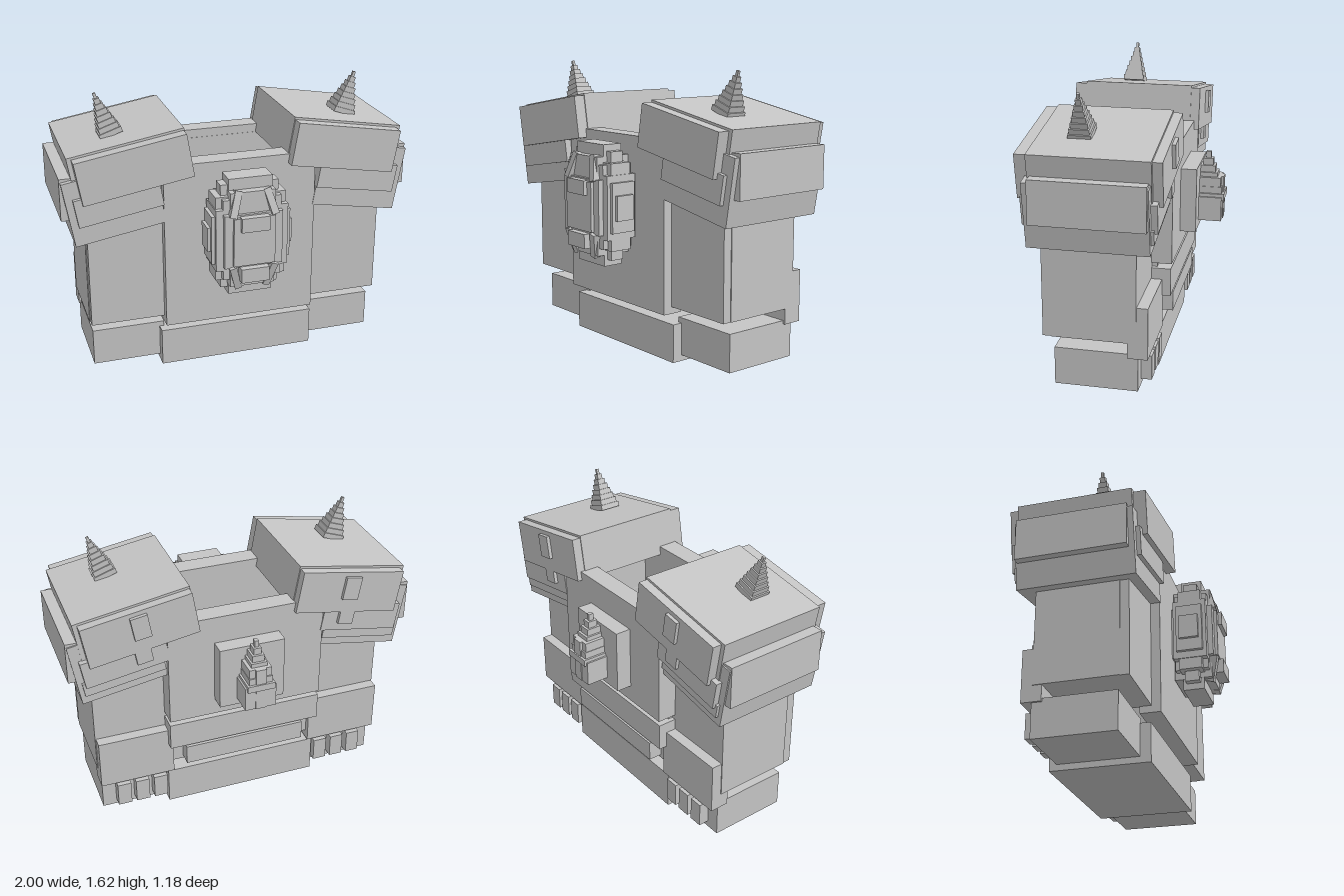
import * as THREE from 'three';

const steel = new THREE.MeshStandardMaterial({ color: 0xc5c5c5 });
steel.name = 'plain grey steel';

// Box given by its limits on each axis
function box(parent, name, [x0, x1], [y0, y1], [z0, z1]) {
  const mesh = new THREE.Mesh(new THREE.BoxGeometry(Math.abs(x1 - x0), y1 - y0, z1 - z0), steel);
  mesh.position.set((x0 + x1) / 2, (y0 + y1) / 2, (z0 + z1) / 2);
  mesh.name = name;
  parent.add(mesh);
  return mesh;
}

function group(parent, name) {
  const g = new THREE.Group();
  g.name = name;
  parent.add(g);
  return g;
}

// Stack of shrinking blocks standing on the local origin
function steppedSpike(parent, name, width, depth, height, steps) {
  const g = group(parent, name);
  const h = height / steps;
  for (let i = 0; i < steps; i++) {
    const k = (1 - i / steps) / 2;
    box(g, 'spikeStep', [-width * k, width * k], [i * h, (i + 1) * h], [-depth * k, depth * k]);
  }
  return g;
}

function buildTorso(root) {
  const g = group(root, 'torso');
  box(g, 'chestPlate', [-0.44, 0.44], [0.28, 1.25], [0.195, 0.312]);
  box(g, 'backWall', [-0.43, 0.43], [0.28, 1.2], [-0.28, -0.25]);
  box(g, 'upperBackPlate', [-0.455, 0.455], [0.62, 1.25], [-0.365, -0.252]);
  box(g, 'backStrap', [-0.455, 0.455], [0.43, 0.59], [-0.36, -0.252]);
  box(g, 'lowerBackStrap', [-0.36, 0.36], [0.30, 0.415], [-0.36, -0.252]);
  box(g, 'waistBlock', [-0.457, 0.457], [0, 0.22], [-0.30, 0.26]);
}

function buildSide(root, s) {
  const g = group(root, s > 0 ? 'leftSide' : 'rightSide');
  const b = (name, x0, x1, y, z) => box(g, name, [s * x0, s * x1], y, z);
  b('ribPad', 0.43, 0.867, [0.32, 1.17], [-0.25, 0.21]);
  b('frontRibPad', 0.43, 0.862, [0.32, 1.17], [0.2, 0.26]);
  b('rearHipPlate', 0.425, 0.862, [0.23, 0.525], [-0.312, -0.2]);
  b('hipBlock', 0.43, 0.85, [0.035, 0.25], [-0.258, 0.2]);
  for (const x of [0.51, 0.62, 0.73]) b('hipStud', x - 0.04, x + 0.04, [0.07, 0.21], [-0.318, -0.25]);
}

function buildShoulder(root, s) {
  const g = group(root, s > 0 ? 'leftShoulder' : 'rightShoulder');
  // Tilted armour layers
  const tilt = group(g, 'tiltedArmour');
  tilt.position.set(s * 0.615, 1.275, 0);
  tilt.rotation.z = -s * THREE.MathUtils.degToRad(9.7);
  const b = (name, u0, u1, v, z) => box(tilt, name, [s * u0, s * u1], v, z);
  b('shoulderCap', -0.325, 0.325, [-0.132, 0.128], [-0.34, 0.30]);
  b('upperPlate', -0.32, 0.3, [-0.132, 0.115], [-0.392, 0.368]);
  b('middlePlate', -0.13, 0.345, [-0.26, -0.1], [-0.37, 0.34]);
  b('lowerPlate', -0.125, 0.385, [-0.372, 0], [-0.335, 0.316]);
  b('rearLowerStrip', -0.1, 0.36, [-0.32, -0.24], [-0.352, -0.3]);
  b('rearUpperStud', -0.06, 0.035, [-0.045, 0.09], [-0.412, -0.38]);
  b('rearMiddleStud', -0.04, 0.05, [-0.21, -0.12], [-0.39, -0.36]);
  // Upright outer guard
  box(g, 'outerGuard', [s * 0.62, s * 1.0], [0.99, 1.23], [-0.327, 0.285]);
  // Horn leaning outwards
  const horn = steppedSpike(g, 'shoulderHorn', 0.13, 0.125, 0.242, 8);
  horn.position.set(s * 0.677, 1.393, 0.075);
  horn.rotation.z = -s * THREE.MathUtils.degToRad(19);
}

function buildChestOrb(root) {
  const g = group(root, 'chestOrb');
  // Nested blocks forming a stepped ellipsoid: half sizes in x, y, z
  const layers = [
    [0.125, 0.342, 0.06],
    [0.128, 0.277, 0.107],
    [0.118, 0.14, 0.143],
    [0.165, 0.305, 0.04],
    [0.2, 0.245, 0.065],
    [0.165, 0.235, 0.095],
    [0.165, 0.155, 0.125],
    [0.205, 0.18, 0.095],
    [0.225, 0.14, 0.075],
    [0.243, 0.07, 0.055],
  ];
  for (const [w, h, d] of layers) {
    box(g, 'orbLayer', [-w, w], [0.865 - h, 0.865 + h], [0.424 - d, 0.424 + d]);
  }
  box(g, 'upperBar', [-0.08, 0.08], [0.93, 1.012], [0.5, 0.588]);
  box(g, 'lowerBar', [-0.08, 0.08], [0.63, 0.712], [0.5, 0.588]);
  // Slanted claws above and below
  for (const s of [-1, 1]) for (const v of [-1, 1]) {
    const claw = box(g, 'orbClaw', [-0.02, 0.02], [-0.075, 0.075], [-0.03, 0.03]);
    claw.position.set(s * 0.1, 0.863 + v * 0.212, 0.52);
    claw.rotation.set(-v * 0.25, 0, s * v * 0.28);
  }
}

function buildBackSpike(root) {
  const g = group(root, 'backSpike');
  box(g, 'spikeMount', [-0.19, 0.19], [0.72, 1.09], [-0.455, -0.35]);
  box(g, 'spikeBase', [-0.09, 0.09], [0.76, 0.9], [-0.585, -0.45]);
  box(g, 'spikeCore', [-0.065, 0.065], [0.76, 1.01], [-0.575, -0.45]);
  box(g, 'spikeRidge', [-0.03, 0.03], [0.76, 1.01], [-0.59, -0.45]);
  steppedSpike(g, 'spikeTip', 0.16, 0.2, 0.27, 7).position.set(0, 0.88, -0.497);
}

export function createModel() {
  const root = new THREE.Group();
  root.name = 'chestArmour';
  buildTorso(root);
  for (const s of [1, -1]) {
    buildSide(root, s);
    buildShoulder(root, s);
  }
  buildChestOrb(root);
  buildBackSpike(root);
  return root;
}
